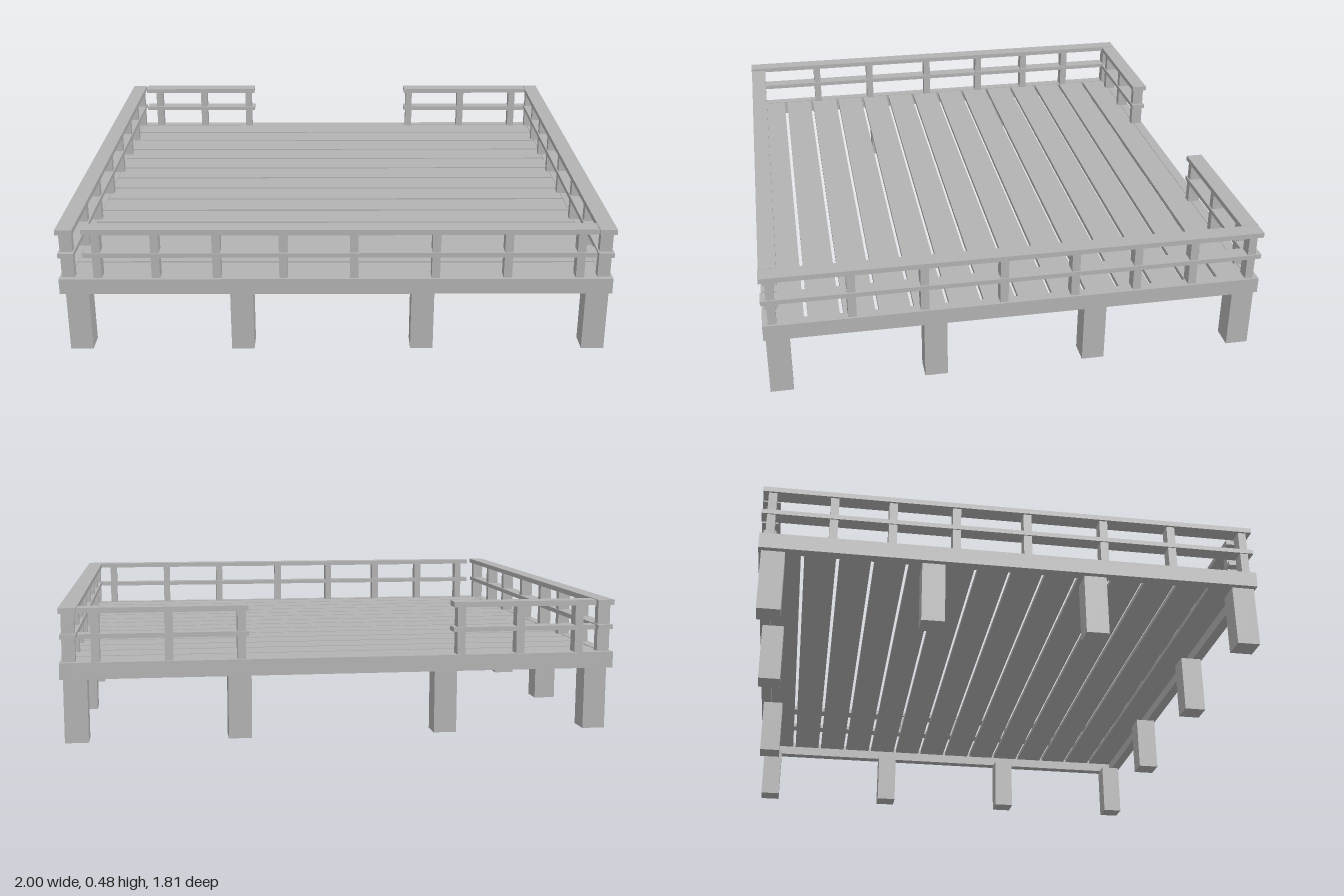
import * as THREE from 'three';

export function createModel() {
  const deck = new THREE.Group();
  deck.name = 'deck';
  const wood = new THREE.MeshStandardMaterial({ color: 0xb3b3b3 });
  wood.name = 'grey wood';

  // Box given by its extents on each axis
  const box = (parent, name, [x0, x1], [y0, y1], [z0, z1]) => {
    const mesh = new THREE.Mesh(new THREE.BoxGeometry(x1 - x0, y1 - y0, z1 - z0), wood);
    mesh.name = name;
    mesh.position.set((x0 + x1) / 2, (y0 + y1) / 2, (z0 + z1) / 2);
    parent.add(mesh);
  };
  const group = (name) => {
    const g = new THREE.Group();
    g.name = name;
    deck.add(g);
    return g;
  };
  const around = (c, w) => [c - w / 2, c + w / 2];

  const RIM = [0.228, 0.287], Z = 0.905;

  // Rim boards
  const rim = group('rim');
  for (const s of [-1, 1]) {
    box(rim, 'sideRim', around(s * 0.98, 0.04), RIM, [-Z, Z]);
    box(rim, 'endRim', [-0.96, 0.96], RIM, around(s * (Z - 0.02), 0.04));
  }

  // Floor planks with narrow open gaps
  const floor = group('floor');
  for (let i = 0; i < 14; i++) {
    box(floor, 'plank', [-0.96, 0.96], [0.268, 0.285], around((i - 6.5) * 0.1255, 0.113));
  }

  // Square legs around the edge
  const legs = group('legs');
  const leg = (x, z) => box(legs, 'leg', around(x, 0.083), [0, RIM[0]], around(z, 0.083));
  for (const x of [-0.938, -0.343, 0.315, 0.947]) leg(x, 0.856);
  for (const x of [-0.938, -0.375, 0.372, 0.947]) leg(x, -0.854);
  for (const z of [0.298, -0.29]) {
    leg(-0.938, z);
    leg(0.947, z);
  }

  // Railing run: top rail, middle rail and posts, along x or along z
  const railing = (name, alongX, span, centre, posts) => {
    const g = group(name);
    const put = (part, along, y, across) =>
      alongX ? box(g, part, along, y, across) : box(g, part, across, y, along);
    put('topRail', span, [0.46, 0.479], around(centre, 0.062));
    put('middleRail', span, [0.37, 0.387], around(centre, 0.056));
    for (const p of posts) put('railPost', around(p, 0.03), [RIM[1], 0.46], around(centre, 0.046));
  };
  const sidePosts = [0.87, 0.592, 0.335, 0.05, -0.21, -0.44, -0.65, -0.87];
  railing('leftRailing', false, [-Z, Z], 0.968, sidePosts);
  railing('rightRailing', false, [-Z, Z], -0.968, sidePosts);
  railing('frontRailing', true, [-0.907, 0.935], 0.872,
    [-0.86, -0.65, -0.43, -0.19, 0.065, 0.36, 0.62, 0.88]);
  // The back is open in the middle as an entrance
  railing('backRailingRight', true, [-0.93, -0.4], -0.875, [-0.87, -0.65, -0.43]);
  railing('backRailingLeft', true, [0.34, 0.935], -0.875, [0.365, 0.62, 0.875]);

  return deck;
}
